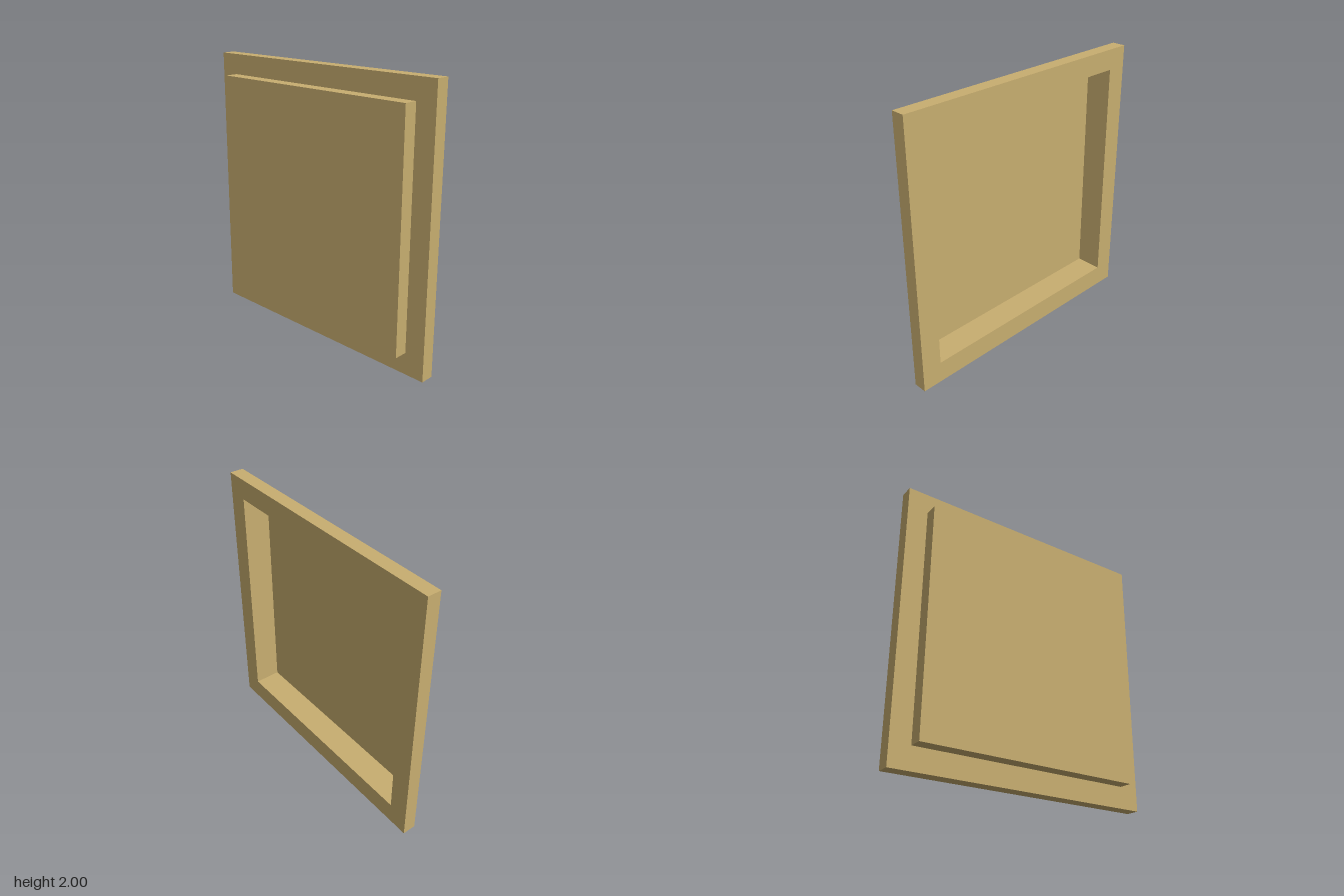
import * as THREE from 'three';

const WIDTH = 1.99, HEIGHT = 2, DEPTH = 0.1;
const PANEL = { half: 0.845, bottom: 0.16, top: 1.85 };

function rectangle(path, x0, y0, x1, y1) {
  path.moveTo(x0, y0);
  path.lineTo(x1, y0);
  path.lineTo(x1, y1);
  path.lineTo(x0, y1);
  path.closePath();
  return path;
}

export function createModel() {
  const group = new THREE.Group();
  group.name = 'framedPanel';
  const material = new THREE.MeshStandardMaterial({
    color: 0xc8ae70, flatShading: true, side: THREE.DoubleSide,
  });

  // Square frame with a rectangular opening, behind z = 0
  const outline = rectangle(new THREE.Shape(), -WIDTH / 2, 0, WIDTH / 2, HEIGHT);
  outline.holes.push(rectangle(new THREE.Path(), -PANEL.half, PANEL.bottom, PANEL.half, PANEL.top));
  const frame = new THREE.Mesh(
    new THREE.ExtrudeGeometry(outline, { depth: DEPTH, bevelEnabled: false }), material);
  frame.name = 'frame';
  frame.position.z = -DEPTH;
  group.add(frame);

  // Thin raised panel in front of the opening: a box shell left open at the back
  const shell = new THREE.BoxGeometry(PANEL.half * 2, PANEL.top - PANEL.bottom, DEPTH);
  shell.setIndex(Array.from(shell.index.array).slice(0, 30)); // drop the rear face
  shell.clearGroups();
  const panel = new THREE.Mesh(shell, material);
  panel.name = 'raisedPanel';
  panel.position.set(0, (PANEL.top + PANEL.bottom) / 2, DEPTH / 2);
  group.add(panel);

  return group;
}
